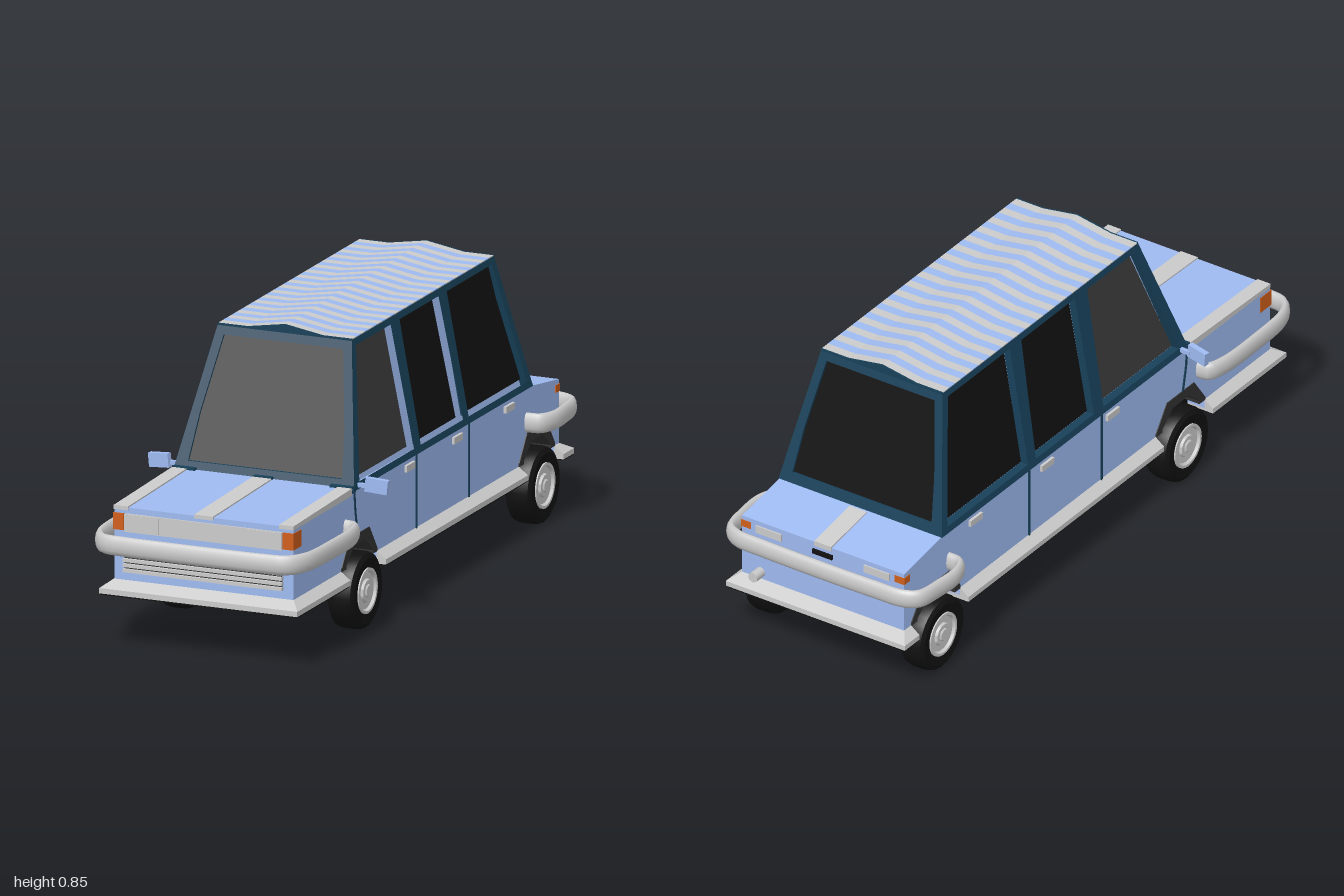
import * as THREE from 'three';
import { toCreasedNormals } from 'three/addons/utils/BufferGeometryUtils.js';

const BLUE = 0x9fbbf2, GREY = 0xcccccc, NAVY = 0x18415a, BLACK = 0x111111, GLASS = 0x3a3a3a, DARK = 0x333333, ORANGE = 0xd0601c;
const materials = {};
const mat = c => materials[c] ??= new THREE.MeshStandardMaterial({ color: c });
const lerp = THREE.MathUtils.lerp;

export function createModel() {
  const car = new THREE.Group();
  const add = (name, geo, color, parent = car) => {
    const m = new THREE.Mesh(geo, mat(color));
    m.name = name;
    parent.add(m);
    return m;
  };
  const box = (name, color, w, h, d, x, y, z) => {
    const m = add(name, new THREE.BoxGeometry(w, h, d), color);
    m.position.set(x, y, z);
    return m;
  };
  const shapeOf = (pts, holes = []) => {
    const s = new THREE.Shape(pts.map(p => new THREE.Vector2(...p)));
    s.holes = holes.map(h => new THREE.Path(h.map(p => new THREE.Vector2(...p))));
    return s;
  };
  // side profile of [z, y] points, extruded from x0 to x1
  const slab = (name, color, pts, x0, x1, holes) => {
    const g = new THREE.ExtrudeGeometry(shapeOf(pts, holes), { depth: x1 - x0, bevelEnabled: false });
    return add(name, g.rotateY(-Math.PI / 2).translate(x1, 0, 0), color);
  };
  // box whose top and bottom rectangles [x0, x1, z0, z1] differ
  const taper = (name, color, y0, bottom, y1, top) => {
    const g = new THREE.BoxGeometry(1, 1, 1).toNonIndexed(), p = g.attributes.position;
    for (let i = 0; i < p.count; i++) {
      const r = p.getY(i) > 0 ? top : bottom;
      p.setXYZ(i, p.getX(i) > 0 ? r[1] : r[0], p.getY(i) > 0 ? y1 : y0, p.getZ(i) > 0 ? r[3] : r[2]);
    }
    g.computeVertexNormals();
    return add(name, g, color);
  };

  // lower body with wheel openings
  const AXLES = [0.45, -0.8];
  const arch = (c, y, o = 0) => [[c + 0.125 - o, y], [c + 0.125 - o, 0.21], [c + 0.07 - o, 0.287 - o], [c - 0.07 + o, 0.287 - o], [c - 0.125 + o, 0.21], [c - 0.125 + o, y]];
  slab('body', BLUE, [[0.91, 0.17], ...arch(AXLES[0], 0.17), ...arch(AXLES[1], 0.17), [-0.96, 0.17], [-0.96, 0.392], [-0.77, 0.42], [0.49, 0.428], [0.91, 0.418]], -0.285, 0.285);
  for (const c of AXLES) {
    slab('wheelWell', BLACK, arch(c, 0.17), -0.225, 0.225);
    for (const x of [-0.288, 0.222]) slab('wheelArch', DARK, [...arch(c, 0.2), ...arch(c, 0.2, 0.03).reverse()], x, x + 0.066);
  }

  // floor and flared skirts
  box('floor', BLACK, 0.45, 0.012, 1.93, 0, 0.164, -0.025);
  const skirts = [[0.575, 0.95, 0, 0.04], [-0.675, 0.325, 0, 0], [-1, -0.925, 0.04, 0]];
  for (const [z0, z1, inBack, inFront] of skirts) {
    box('floorPlate', BLACK, 0.626, 0.004, z1 - z0 - 0.002, 0, 0.16, (z0 + z1) / 2);
    const outer = [-0.315, 0.315, z0, z1];
    taper('skirtLip', GREY, 0.162, outer, 0.178, outer);
    taper('skirt', GREY, 0.178, outer, 0.2, [-0.286, 0.286, z0 + inBack, z1 - inFront]);
  }

  // bonnet and boot stripes
  const hood = [[0.912, 0.41], [0.912, 0.422], [0.5, 0.432], [0.5, 0.41]];
  const boot = [[-0.78, 0.4], [-0.78, 0.423], [-0.962, 0.396], [-0.962, 0.38]];
  slab('bonnetStripe', GREY, hood, -0.03, 0.03);
  slab('bootStripe', GREY, boot, -0.03, 0.03);
  for (const x of [-0.286, 0.24]) slab('bonnetEdge', GREY, hood, x, x + 0.046);

  // front: lamp panel, headlamps, slatted grille
  box('lampPanel', GREY, 0.5, 0.055, 0.01, 0, 0.373, 0.91);
  for (const s of [-1, 1]) {
    box('headlamp', GREY, 0.108, 0.05, 0.012, s * 0.196, 0.374, 0.912);
    box('indicator', ORANGE, 0.034, 0.05, 0.056, s * 0.27, 0.375, 0.887);
    box('rearLamp', GREY, 0.09, 0.024, 0.01, s * 0.19, 0.365, -0.96);
    box('rearIndicator', ORANGE, 0.034, 0.022, 0.03, s * 0.27, 0.368, -0.947);
  }
  box('grille', DARK, 0.5, 0.075, 0.008, 0, 0.262, 0.91);
  for (let i = 0; i < 5; i++) box('grilleSlat', GREY, 0.505, 0.01, 0.018, 0, 0.231 + i * 0.0155, 0.914);
  box('bootHandle', BLACK, 0.07, 0.014, 0.012, 0, 0.362, -0.961);
  const exhaust = add('exhaust', new THREE.CylinderGeometry(0.016, 0.016, 0.09, 12).rotateX(Math.PI / 2), GREY);
  exhaust.position.set(0.22, 0.222, -0.955);

  // wraparound bumpers, taller than deep
  const bumper = (name, half) => {
    const pts = [...half, ...half.map(([x, z]) => [-x, z]).reverse()].map(([x, z]) => new THREE.Vector3(x, 0, z));
    const curve = new THREE.CatmullRomCurve3(pts, false, 'centripetal');
    const m = add(name, new THREE.TubeGeometry(curve, 90, 0.015, 12), GREY);
    m.scale.y = 2;
    m.position.y = 0.32;
  };
  bumper('frontBumper', [[0.28, 0.545], [0.315, 0.55], [0.333, 0.6], [0.338, 0.75], [0.325, 0.92], [0.29, 0.97], [0.22, 0.98], [0.1, 0.983]]);
  bumper('rearBumper', [[0.28, -0.73], [0.325, -0.735], [0.347, -0.78], [0.345, -0.87], [0.33, -0.95], [0.29, -0.975], [0.2, -0.98], [0.1, -0.982]]);

  // leaning cabin walls: [u, y] outline pushed out by its lean, then turned to its side
  const k = y => (y - 0.42) / 0.41;
  const wall = (name, color, angle, low, high, pts, holes, inset, depth) => {
    const g = new THREE.ExtrudeGeometry(shapeOf(pts, holes), { depth, bevelEnabled: false });
    const p = g.attributes.position;
    for (let i = 0; i < p.count; i++) p.setZ(i, p.getZ(i) - depth - inset + lerp(low, high, k(p.getY(i))));
    g.computeVertexNormals();
    add(name, g.rotateY(angle), color);
  };
  const grow = (q, e) => q.map(([u, y], i) => [u + (i === 0 || i === 3 ? -e : e), y + (i < 2 ? -e : e)]);
  taper('cabinShell', BLUE, 0.42, [-0.262, 0.262, -0.745, 0.465], 0.826, [-0.19, 0.19, -0.636, 0.316]);

  const windows = [
    [[[0.06, 0.44], [0.445, 0.44], [0.318, 0.81], [0.075, 0.81]], GLASS],
    [[[-0.285, 0.44], [0.012, 0.44], [0.012, 0.81], [-0.262, 0.81]], BLACK],
    [[[-0.742, 0.44], [-0.325, 0.44], [-0.32, 0.81], [-0.645, 0.81]], BLACK],
  ];
  for (const s of [-1, 1]) {
    const turn = pts => pts.map(([z, y]) => [-s * z, y]);
    const angle = s * Math.PI / 2;
    wall('sideFrame', NAVY, angle, 0.288, 0.213, turn([[-0.77, 0.42], [0.49, 0.42], [0.34, 0.83], [-0.66, 0.83]]), windows.map(w => turn(w[0])), 0, 0.028);
    for (const [q, c] of windows) wall('sideWindow', c, angle, 0.288, 0.213, turn(grow(q, -0.006)), [], 0.02, 0.008);
  }
  const outline = [[-0.288, 0.42], [0.288, 0.42], [0.213, 0.83], [-0.213, 0.83]];
  const screen = [[-0.245, 0.45], [0.245, 0.45], [0.205, 0.803], [-0.205, 0.803]];
  for (const [tag, color, angle, low, high] of [['front', GLASS, 0, 0.49, 0.34], ['rear', BLACK, Math.PI, 0.77, 0.66]]) {
    wall(tag + 'Frame', NAVY, angle, low, high, outline, [screen], 0, 0.028);
    wall(tag + 'Screen', color, angle, low, high, screen, [], 0.008, 0.012);
  }
  for (const x of [-0.25, 0, 0.25]) box('cowlTab', NAVY, x ? 0.07 : 0.06, 0.02, 0.03, x, 0.425, 0.485);

  // striped roof with a shallow ridge
  const ridge = shapeOf([[-0.213, 0.826], [0.213, 0.826], [0.213, 0.833], [0.12, 0.833], [0, 0.853], [-0.12, 0.833], [-0.213, 0.833]]);
  const roofSlice = (name, color, z, depth) => add(name, new THREE.ExtrudeGeometry(ridge, { depth, bevelEnabled: false }).translate(0, 0, z), color);
  const SLICES = 33, step = 0.992 / SLICES;
  for (let i = 0; i < SLICES; i++) roofSlice('roofStripe', i % 2 ? BLUE : GREY, -0.656 + i * step, step);
  roofSlice('roofFrontTrim', NAVY, 0.336, 0.005);
  roofSlice('roofRearTrim', NAVY, -0.661, 0.005);

  // door seams, handles and mirrors
  for (const s of [-1, 1]) {
    for (const z of [0.047, -0.322]) box('doorSeam', NAVY, 0.004, 0.235, 0.008, s * 0.286, 0.305, z);
    slab('doorSeam', NAVY, [[0.482, 0.43], [0.49, 0.43], [0.482, 0.36], [0.466, 0.285], [0.458, 0.285], [0.474, 0.36]], s * 0.286 - 0.002, s * 0.286 + 0.002);
    for (const z of [0.1, -0.235, -0.6]) box('doorHandle', GREY, 0.014, 0.02, 0.06, s * 0.287, 0.397, z);
    box('mirrorArm', BLUE, 0.04, 0.012, 0.012, s * 0.298, 0.432, 0.455);
    const mirror = box('mirror', BLUE, 0.068, 0.042, 0.018, s * 0.345, 0.436, 0.456);
    mirror.rotation.set(0, s * 0.15, -s * 0.1);
  }

  // wheels
  const lathe = pts => toCreasedNormals(new THREE.LatheGeometry(pts.map(p => new THREE.Vector2(...p)), 28), 0.6);
  const tyre = lathe([[0, -0.042], [0.098, -0.042], [0.111, -0.034], [0.115, -0.02], [0.115, 0.02], [0.111, 0.034], [0.098, 0.042], [0.07, 0.039], [0.065, 0.03], [0, 0.03]]);
  const rim = lathe([[0.068, 0.028], [0.068, 0.042], [0.06, 0.042], [0.055, 0.034], [0.036, 0.034], [0.032, 0.041], [0.02, 0.041], [0.016, 0.045], [0, 0.045]]);
  for (const z of AXLES) for (const s of [-1, 1]) {
    const wheel = new THREE.Group();
    wheel.name = 'wheel';
    add('tyre', tyre, BLACK, wheel);
    add('rim', rim, GREY, wheel);
    wheel.rotation.z = -s * Math.PI / 2;
    wheel.position.set(s * 0.273, 0.115, z);
    car.add(wheel);
  }
  return car;
}
